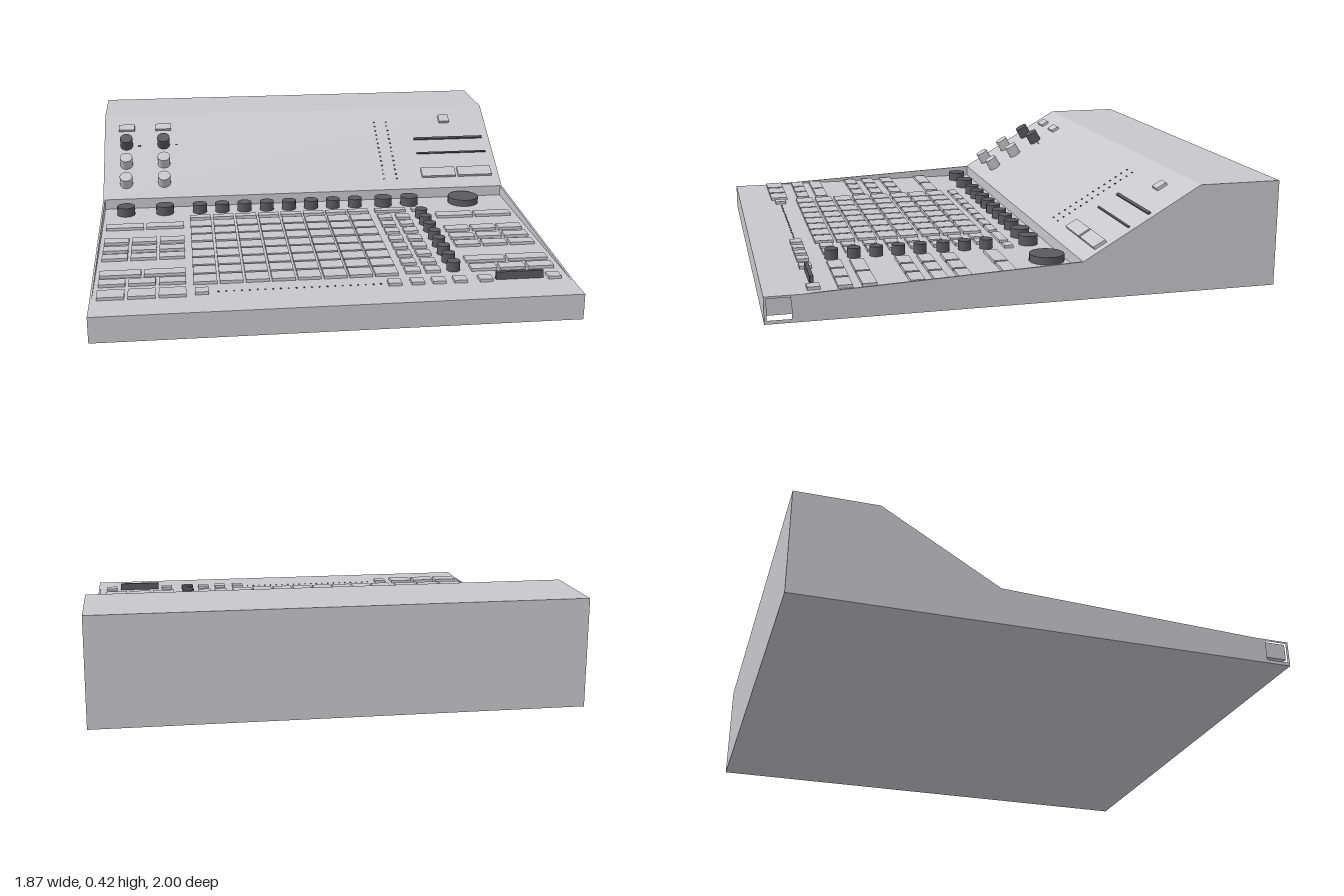
import * as THREE from 'three';

export function createModel() {
  const model = new THREE.Group();
  const bodyGrey = new THREE.MeshStandardMaterial({ color: 0xc8c8cc });
  bodyGrey.name = 'light grey';
  const darkGrey = new THREE.MeshStandardMaterial({ color: 0x5a5a5e });
  darkGrey.name = 'dark grey';

  const HALF = 0.935, DECK = 0.104;

  function add(parent, name, geometry, material, x, y, z) {
    const mesh = new THREE.Mesh(geometry, material);
    mesh.name = name;
    mesh.position.set(x, y, z);
    parent.add(mesh);
    return mesh;
  }

  // Extrude a side outline of [z, y] points across x
  function sideExtrude(points, width, hole) {
    const toV = ([z, y]) => new THREE.Vector2(-z, y);
    const shape = new THREE.Shape(points.map(toV));
    if (hole) shape.holes.push(new THREE.Path(hole.map(toV)));
    const g = new THREE.ExtrudeGeometry(shape, { depth: width, bevelEnabled: false });
    return g.rotateY(Math.PI / 2).translate(-width / 2, 0, 0);
  }

  // Case: flat deck, short step, sloped panel and flat top; open ends at the front edge
  add(model, 'case', sideExtrude(
    [[1, 0], [1, DECK], [-0.2, DECK], [-0.2, 0.15], [-0.67, 0.424], [-1, 0.424], [-1, 0]],
    HALF * 2,
    [[0.99, 0.014], [0.99, 0.096], [0.9, 0.096], [0.9, 0.014]]), bodyGrey, 0, 0, 0);
  add(model, 'frontEdgeCore', new THREE.BoxGeometry(HALF * 2 - 0.02, 0.066, 0.09), bodyGrey, 0, 0.063, 0.945);

  // Thin side cheeks rising towards the slope
  for (const s of [-1, 1]) {
    add(model, 'sideCheek', sideExtrude([[0.86, DECK], [-0.2, 0.15], [-0.2, DECK]], 0.008),
      bodyGrey, s * (HALF - 0.004), 0, 0);
  }

  // Deck controls
  const deck = new THREE.Group();
  deck.name = 'deckControls';
  deck.position.y = DECK;
  model.add(deck);

  const button = (x, z, w, d) =>
    add(deck, 'button', new THREE.BoxGeometry(w, 0.012, d), bodyGrey, x, 0.006, z);
  const knob = (x, z, r, h) =>
    add(deck, 'knob', new THREE.CylinderGeometry(r, r, h, 20), darkGrey, x, h / 2, z);

  const rows = [0.066, 0.156, 0.246, 0.341, 0.43, 0.52, 0.61, 0.7];
  const cols = Array.from({ length: 8 }, (_, i) => -0.497 + i * 0.102);

  // Pad grid with track buttons, side button columns and fader knobs
  for (const x of cols) {
    knob(x, -0.12, 0.032, 0.04);
    button(x, -0.025, 0.092, 0.037);
    for (const z of rows) button(x, z, 0.092, 0.077);
  }
  for (const z of rows) {
    button(0.326, z, 0.06, 0.053);
    button(0.407, z, 0.06, 0.053);
    knob(0.492, z, 0.027, 0.04);
  }
  button(0.365, -0.025, 0.14, 0.037);
  button(0.492, -0.025, 0.055, 0.037);

  // Larger knobs and the main dial
  for (const x of [-0.83, -0.655, 0.35, 0.472]) knob(x, -0.12, 0.04, 0.04);
  knob(0.728, -0.12, 0.07, 0.03);

  // Button blocks on both sides
  for (const cx of [-0.741, 0.73]) {
    for (const z of [0.246, 0.341, 0.43, 0.7])
      for (const i of [-1, 0, 1]) button(cx + i * 0.117, z, 0.104, 0.055);
    for (const z of [0.066, 0.61])
      for (const s of [-1, 1]) button(cx + s * 0.0875, z, 0.163, 0.055);
  }

  // Front row
  for (const i of [-1, 0, 1]) button(-0.741 + i * 0.117, 0.815, 0.104, 0.075);
  for (const x of [-0.513, 0.233, 0.323, 0.407, 0.492, 0.593, 0.868]) button(x, 0.815, 0.052, 0.048);
  add(deck, 'crossSlider', new THREE.BoxGeometry(0.19, 0.032, 0.015), darkGrey, 0.73, 0.016, 0.815);
  for (let i = 0; i < 22; i++)
    add(deck, 'indicator', new THREE.BoxGeometry(0.006, 0.003, 0.006), darkGrey, -0.45 + i * 0.03, 0.0015, 0.815);

  // Sloped panel controls: local y points out of the slope, local z runs down it
  const tilt = Math.atan2(0.274, 0.47);
  const slope = new THREE.Group();
  slope.name = 'slopeControls';
  slope.position.set(0, 0.15, -0.2);
  slope.rotation.x = tilt;
  model.add(slope);
  const along = z => (z + 0.2) / Math.cos(tilt);
  const plate = (name, x, z, w, h, d, material = bodyGrey) =>
    add(slope, name, new THREE.BoxGeometry(w, h, d), material, x, h / 2, along(z));

  for (const x of [-0.83, -0.655]) {
    [-0.28, -0.385, -0.492].forEach((z, i) =>
      add(slope, 'panelKnob', new THREE.CylinderGeometry(0.029, 0.029, 0.052, 20),
        i === 2 ? darkGrey : bodyGrey, x, 0.026, along(z)));
    plate('panelButton', x, -0.59, 0.075, 0.012, 0.036);
    plate('indicator', x + 0.06, -0.49, 0.012, 0.003, 0.006, darkGrey);
  }

  // Right hand group: power button, slots and wide buttons
  plate('panelButton', 0.73, -0.59, 0.05, 0.012, 0.046);
  plate('slot', 0.73, -0.478, 0.34, 0.008, 0.012, darkGrey);
  plate('slot', 0.73, -0.395, 0.34, 0.006, 0.008, darkGrey);
  plate('panelButton', 0.643, -0.282, 0.162, 0.012, 0.055);
  plate('panelButton', 0.818, -0.282, 0.162, 0.012, 0.055);

  // Level meter dots
  for (const x of [0.38, 0.44])
    for (let i = 0; i < 14; i++) plate('meterDot', x, -0.26 - i * 0.025, 0.008, 0.003, 0.006, darkGrey);

  return model;
}
